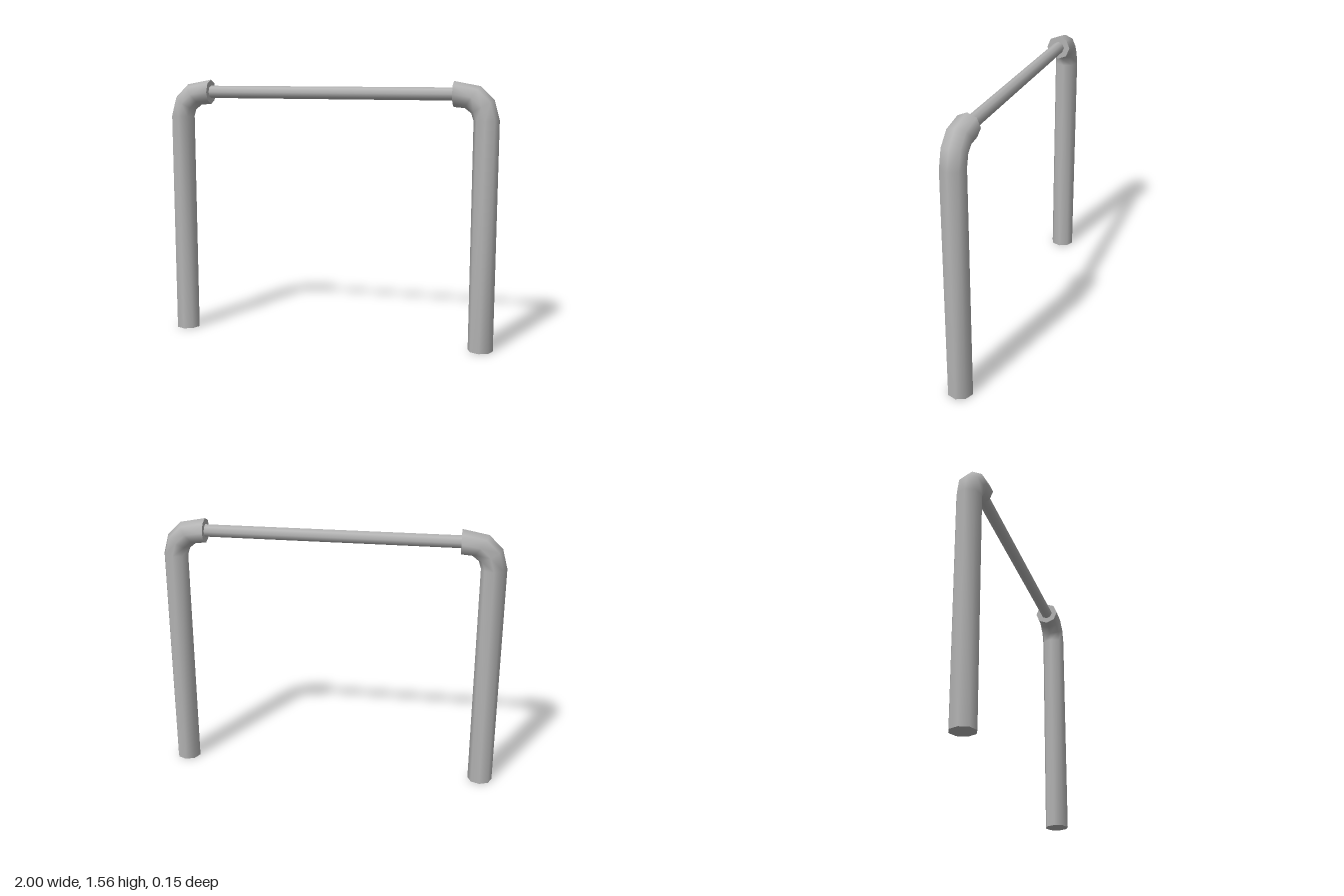
import * as THREE from 'three';

const SIDES = 8, RADIUS = 0.073;
// Stations along a post: outer and inner edge of each ring (x, y, x, y)
const STATIONS = [
  [1.0, 0, 0.854, 0],
  [1.0, 1.34, 0.854, 1.335],
  [0.969, 1.453, 0.84, 1.378],
  [0.89, 1.53, 0.803, 1.407],
  [0.74, 1.558, 0.74, 1.412],
];

// Points of one octagonal ring; side is +1 or -1
function ring([ox, oy, ix, iy], side) {
  return Array.from({ length: SIDES }, (_, j) => {
    const a = (j / SIDES) * Math.PI * 2, t = (1 + Math.cos(a)) / 2;
    return [side * (ix + (ox - ix) * t), iy + (oy - iy) * t, RADIUS * Math.sin(a)];
  });
}

function makeGeometry(points, faces, side) {
  const geo = new THREE.BufferGeometry();
  geo.setAttribute('position', new THREE.Float32BufferAttribute(points.flat(), 3));
  geo.setIndex(faces.flatMap(([a, b, c]) => (side > 0 ? [a, b, c] : [a, c, b])));
  geo.computeVertexNormals();
  return geo;
}

// Bent pipe wall
function wall(side) {
  const points = STATIONS.flatMap((s) => ring(s, side)), faces = [];
  for (let i = 0; i < STATIONS.length - 1; i++) {
    for (let j = 0; j < SIDES; j++) {
      const k = (j + 1) % SIDES, a = i * SIDES, b = a + SIDES;
      faces.push([a + j, b + j, a + k], [b + j, b + k, a + k]);
    }
  }
  return makeGeometry(points, faces, side);
}

// Flat end of the pipe
function cap(station, side, flip) {
  const faces = [];
  for (let j = 1; j < SIDES - 1; j++) faces.push(flip ? [0, j + 1, j] : [0, j, j + 1]);
  return makeGeometry(ring(station, side), faces, side);
}

export function createModel() {
  const model = new THREE.Group();
  model.name = 'pullUpBar';
  const metal = new THREE.MeshStandardMaterial({ color: 0xb4b4b4 });
  metal.name = 'grey metal';
  const add = (parent, name, geo) => {
    const mesh = new THREE.Mesh(geo, metal);
    mesh.name = name;
    parent.add(mesh);
    return mesh;
  };

  // Two posts bent inward at the top
  for (const side of [1, -1]) {
    const post = new THREE.Group();
    post.name = side > 0 ? 'leftPost' : 'rightPost';
    add(post, 'bentPipe', wall(side));
    add(post, 'foot', cap(STATIONS[0], side, false));
    add(post, 'socketEnd', cap(STATIONS[STATIONS.length - 1], side, true));
    model.add(post);
  }

  // Thin crossbar between the sockets
  const bar = add(model, 'crossbar', new THREE.CylinderGeometry(0.037, 0.037, 1.48, SIDES, 1, true));
  bar.rotation.z = Math.PI / 2;
  bar.position.y = 1.485;
  return model;
}
